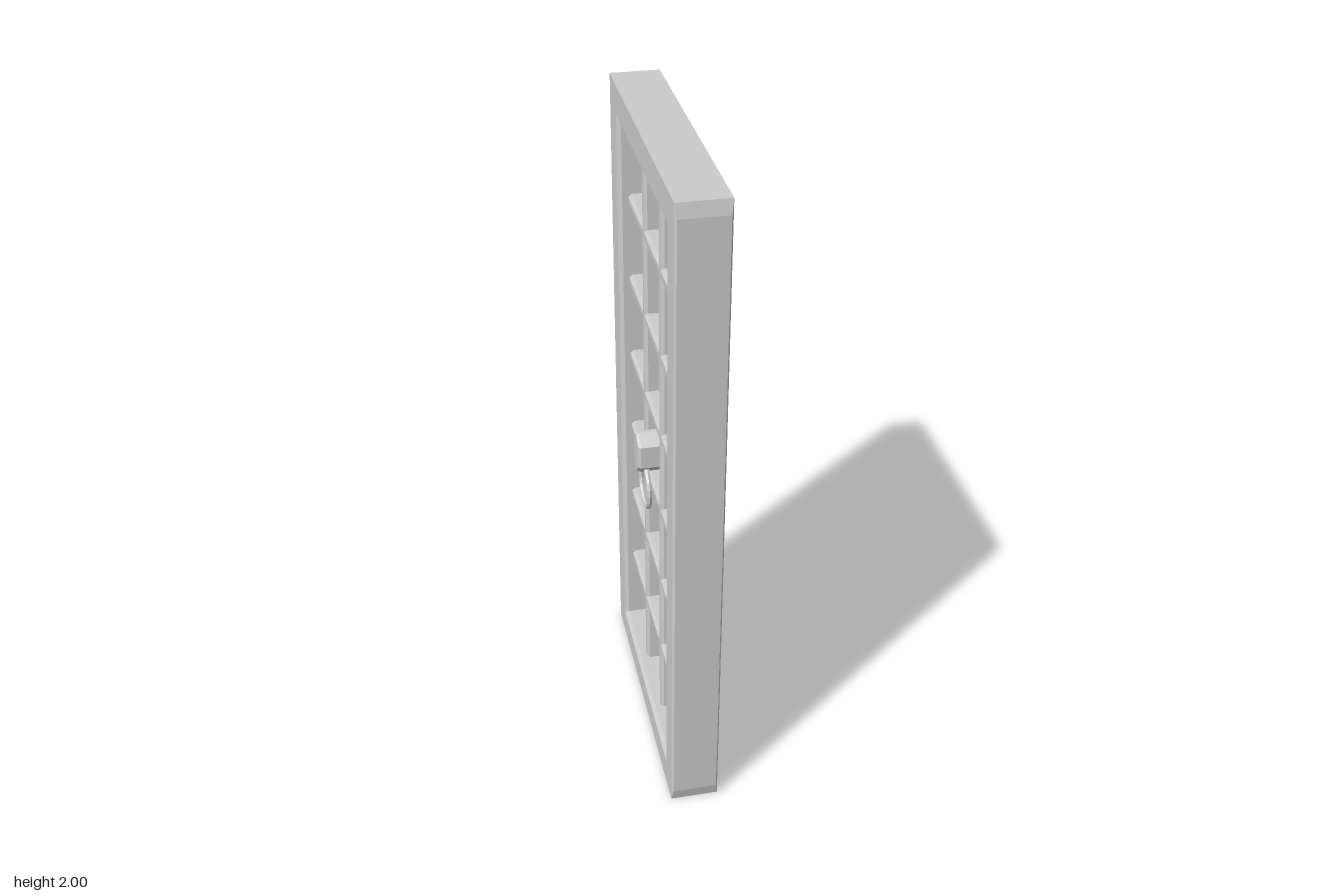
import * as THREE from 'three';

const material = new THREE.MeshStandardMaterial({ color: 0xcccccc, flatShading: true, side: THREE.DoubleSide });

// Rectangle facing -x, counter-clockwise
const rect = (x, z0, z1, y0, y1) => [[x, y0, z0], [x, y0, z1], [x, y1, z1], [x, y1, z0]];

// Joins a row of closed loops (ordered towards the viewer on -x) and fills both ends
function loft(loops) {
  const centre = (loop) => {
    const c = [0, 1, 2].map((k) => loop.reduce((s, p) => s + p[k], 0) / loop.length);
    return loop.map(() => c);
  };
  const rows = [centre(loops[0]), ...loops, centre(loops[loops.length - 1])];
  const pos = [];
  for (let r = 0; r < rows.length - 1; r++) {
    const a = rows[r], b = rows[r + 1], n = a.length;
    for (let i = 0; i < n; i++) {
      const j = (i + 1) % n;
      if (r > 0) pos.push(...a[i], ...a[j], ...b[j]);
      else pos.push(...a[i], ...b[j], ...b[i]);
      if (r > 0 && r < rows.length - 2) pos.push(...a[i], ...b[j], ...b[i]);
    }
  }
  const g = new THREE.BufferGeometry();
  g.setAttribute('position', new THREE.Float32BufferAttribute(pos, 3));
  g.computeVertexNormals();
  return g;
}

export function createModel() {
  const model = new THREE.Group();
  model.name = 'door';
  const add = (name, geometry, parent = model) => {
    const mesh = new THREE.Mesh(geometry, material);
    mesh.name = name;
    parent.add(mesh);
    return mesh;
  };

  const face = -0.065, back = 0.08, panel = 0.005, barFront = -0.035;
  const oz0 = -0.36, oz1 = 0.37, oy0 = 0.085, oy1 = 1.915;

  // Slab with a bevelled recess on the -x face
  const lip = 0.012;
  add('doorFrame', loft([
    rect(back, -0.454, 0.445, 0, 2),
    rect(face, -0.454, 0.445, 0, 2),
    rect(face, oz0, oz1, oy0, oy1),
    rect(face + lip, oz0 + lip, oz1 - lip, oy0 + lip, oy1 - lip),
    rect(panel, oz0 + lip, oz1 - lip, oy0 + lip, oy1 - lip),
  ]));

  // Shallow bevelled cap on the front edge
  const cap = new THREE.BoxGeometry(back - face, 2, 0.009);
  const p = cap.attributes.position;
  for (let i = 0; i < p.count; i++) {
    if (p.getZ(i) > 0) p.setXY(i, p.getX(i) * 0.92, p.getY(i) * 0.96);
  }
  cap.computeVertexNormals();
  add('edgeCap', cap).position.set((face + back) / 2, 1, 0.4495);

  // Lattice bars with chamfered fronts
  const lattice = new THREE.Group();
  lattice.name = 'lattice';
  model.add(lattice);
  const half = 0.018, cut = 0.009;
  const bar = (name, z0, z1, y0, y1, cz, cy) => add(name, loft([
    rect(panel + 0.005, z0, z1, y0, y1),
    rect(barFront + cut, z0, z1, y0, y1),
    rect(barFront, z0 + cz, z1 - cz, y0 + cy, y1 - cy),
  ]), lattice);
  for (const z of [-0.117, 0.121]) bar('verticalBar', z - half, z + half, oy0, oy1, cut, 0);
  for (let i = 0; i < 6; i++) {
    const y = 1 + (i - 2.5) * 0.262;
    bar('horizontalBar', oz0, oz1, y - half, y + half, 0, cut);
  }

  // Knocker: eight-sided boss with a hanging ring
  const knocker = new THREE.Group();
  knocker.name = 'knocker';
  model.add(knocker);
  const octagon = (x, inset) => {
    const w = 0.039 - inset, n = 0.006, t = 0.0695 - inset, s = 0.036;
    return [[-w, -s], [-n, -t], [n, -t], [w, -s], [w, s], [n, t], [-n, t], [-w, s]]
      .map(([z, y]) => [x, 1.0065 + y, z]);
  };
  add('knockerBoss', loft([octagon(panel + 0.005, 0), octagon(-0.075, 0), octagon(-0.083, 0.008)]), knocker);
  const ring = add('knockerRing', new THREE.TorusGeometry(0.069, 0.008, 6, 20), knocker);
  ring.rotation.y = Math.PI / 2;
  ring.position.set(-0.056, 0.886, 0);

  return model;
}
